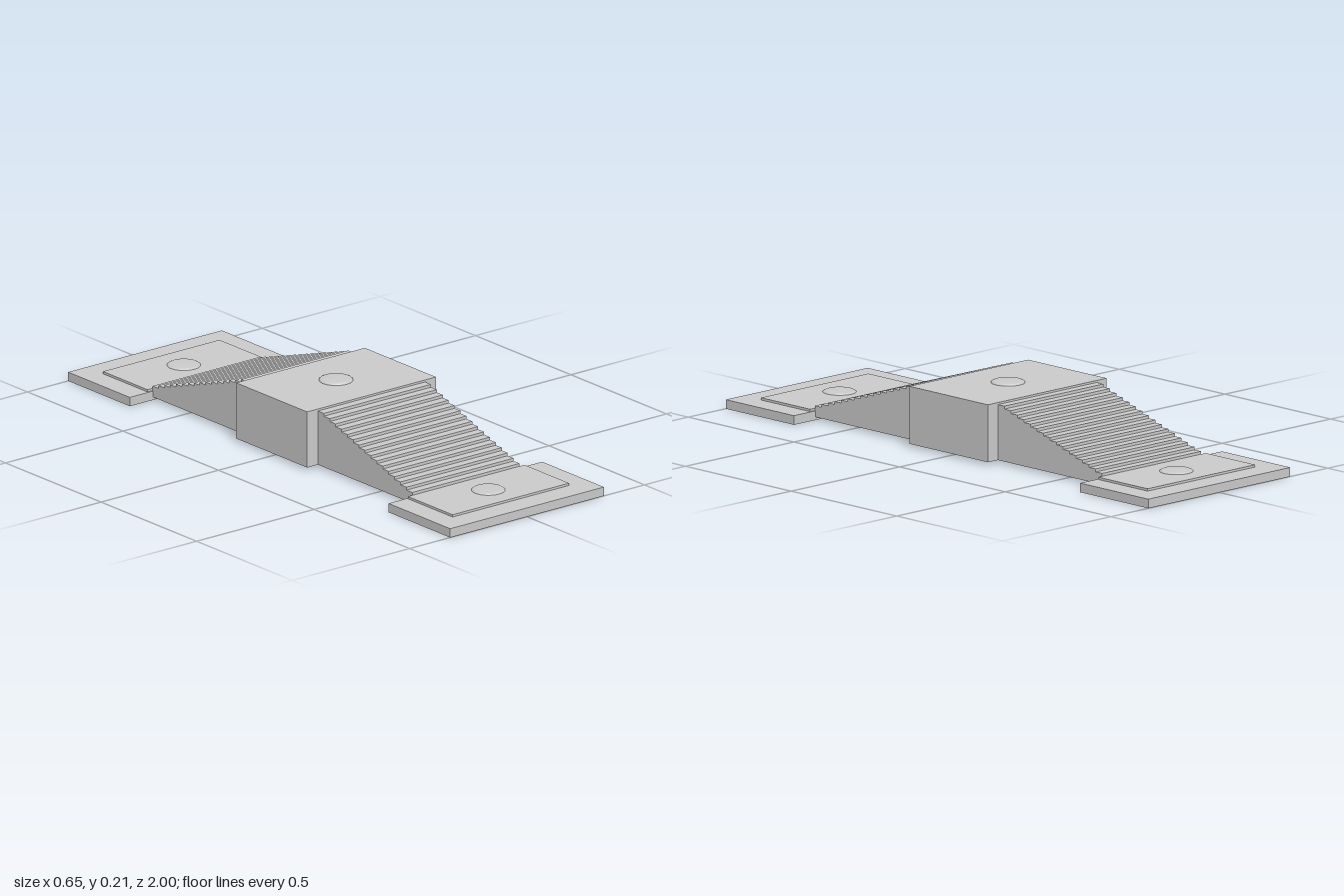
import * as THREE from 'three';

const material = new THREE.MeshStandardMaterial({ color: 0xcccccc, side: THREE.DoubleSide });

function addMesh(parent, name, geometry, x = 0, y = 0, z = 0) {
  const mesh = new THREE.Mesh(geometry, material);
  mesh.name = name;
  mesh.position.set(x, y, z);
  parent.add(mesh);
  return mesh;
}

// Hollow box without a floor, from y0 to y1 and z0 to z1
function openBox(parent, name, halfWidth, y0, y1, z0, z1) {
  const geo = new THREE.BoxGeometry(halfWidth * 2, y1 - y0, z1 - z0);
  const index = Array.from(geo.index.array);
  index.splice(18, 6);
  geo.setIndex(index);
  geo.clearGroups();
  return addMesh(parent, name, geo, 0, (y0 + y1) / 2, (z0 + z1) / 2);
}

// Shallow round button
function addButton(parent, name, y, z) {
  const profile = [[0.057, -0.002], [0.056, 0.002], [0.053, 0.005], [0.047, 0.0075], [0, 0.008]];
  const points = profile.map(([r, h]) => new THREE.Vector2(r, h));
  addMesh(parent, name, new THREE.LatheGeometry(points, 32), 0, y, z);
}

// Strip across the width that follows a [z, y] profile
function ribbon(profile, w) {
  const positions = [];
  for (let i = 0; i < profile.length - 1; i++) {
    const [az, ay] = profile[i];
    const [bz, by] = profile[i + 1];
    positions.push(-w, ay, az, -w, by, bz, w, by, bz);
    positions.push(-w, ay, az, w, by, bz, w, ay, az);
  }
  const geo = new THREE.BufferGeometry();
  geo.setAttribute('position', new THREE.Float32BufferAttribute(positions, 3));
  geo.computeVertexNormals();
  return geo;
}

const BASE = 0.01;

// One flight of steps with its landing plate, running towards +z
function createWing(name) {
  const wing = new THREE.Group();
  wing.name = name;

  const steps = 16, inner = 0.186, outer = 0.68, top = 0.198, rise = 0.01, w = 0.228;
  const run = (outer - inner) / steps;
  const profile = [[inner, top]];
  for (let i = 0; i < steps; i++) {
    const z = inner + (i + 1) * run;
    profile.push([z, top - i * rise]);
    profile.push([z, i === steps - 1 ? BASE : top - (i + 1) * rise]);
  }
  addMesh(wing, 'steps', ribbon(profile, w));

  // Solid side walls below the steps
  const outline = [...profile, [inner, BASE]].map(([z, y]) => new THREE.Vector2(z, y));
  for (const side of [-1, 1]) {
    const geo = new THREE.ShapeGeometry(new THREE.Shape(outline));
    geo.rotateY(-Math.PI / 2);
    addMesh(wing, side > 0 ? 'leftStepWall' : 'rightStepWall', geo, side * w);
  }

  // Landing plate with raised panel and button
  openBox(wing, 'landingPlate', 0.327, 0, 0.031, outer - 0.003, 1);
  openBox(wing, 'landingPanel', 0.248, BASE, 0.039, outer + 0.002, 0.915);
  addButton(wing, 'landingButton', 0.037, 0.797);
  return wing;
}

export function createModel() {
  const model = new THREE.Group();
  model.name = 'steppedBridge';

  // Central block
  openBox(model, 'centralBlock', 0.274, BASE, 0.205, -0.186, 0.186);
  addButton(model, 'centralButton', 0.205, 0);

  // Front and back wings
  const back = createWing('backWing');
  back.rotation.y = Math.PI;
  model.add(createWing('frontWing'), back);
  return model;
}
